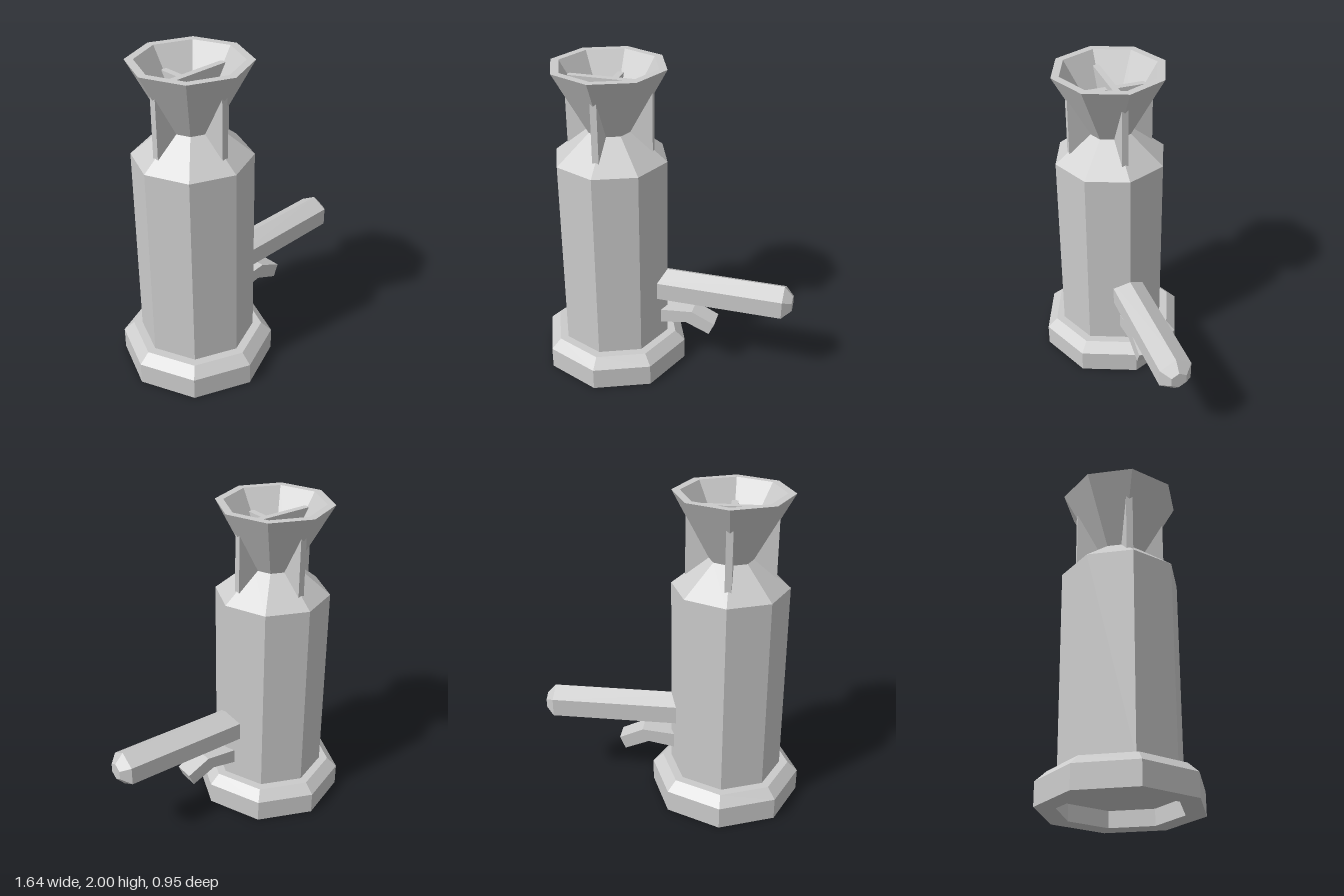
import * as THREE from 'three';

const AXIS_X = -0.345;
const material = new THREE.MeshStandardMaterial({ color: 0xcccccc, flatShading: true });

function add(group, name, geometry, x = 0, y = 0, z = 0) {
  const mesh = new THREE.Mesh(geometry, material);
  mesh.name = name;
  mesh.position.set(x, y, z);
  group.add(mesh);
  return mesh;
}

// faceted solid of revolution from [radius, height] pairs
function turned(profile, sides, start = 0) {
  const points = profile.map(([r, h]) => new THREE.Vector2(r, h));
  return new THREE.LatheGeometry(points, sides, start);
}

export function createModel() {
  const model = new THREE.Group();
  model.name = 'juicer';

  // foot ring with a hollow underside
  add(model, 'base', turned([
    [0, 0.1], [0.355, 0.1], [0.355, 0], [0.475, 0],
    [0.475, 0.14], [0.41, 0.2], [0.34, 0.2],
  ], 8), AXIS_X);

  // octagonal tower, its shoulder rising to a point inside the funnel
  add(model, 'body', turned([[0.355, 0.19], [0.355, 1.43], [0.14, 1.605], [0, 1.72]], 8), AXIS_X);

  // open funnel with a thick rim
  add(model, 'funnel', turned([[0.14, 1.605], [0.355, 2], [0.305, 2], [0.085, 1.65]], 8), AXIS_X);

  // crossed plates running through the funnel
  const plate = (name, bottom, top, dx, dz) =>
    add(model, name, new THREE.BoxGeometry(dx, top - bottom, dz), AXIS_X, (top + bottom) / 2, 0);
  plate('sidewaysFin', 1.46, 1.92, 0.54, 0.04);
  plate('lengthwiseFin', 1.46, 1.88, 0.04, 0.54);

  // hexagonal handle with a bevelled tip
  const handle = add(model, 'handle', turned([
    [0, 0], [0.115, 0], [0.115, 0.965], [0.055, 1.02], [0, 1.02],
  ], 6, Math.PI / 2), -0.2, 0.56, 0);
  handle.rotation.z = -Math.PI / 2;

  // bent lever below the handle
  const outline = new THREE.Shape([
    [-0.1, 0.285], [0.15, 0.33], [0.305, 0.265],
    [0.34, 0.345], [0.19, 0.415], [-0.1, 0.387],
  ].map(([x, y]) => new THREE.Vector2(x, y)));
  add(model, 'lever', new THREE.ExtrudeGeometry(outline, { depth: 0.124, bevelEnabled: false }), 0, 0, -0.062);

  return model;
}
